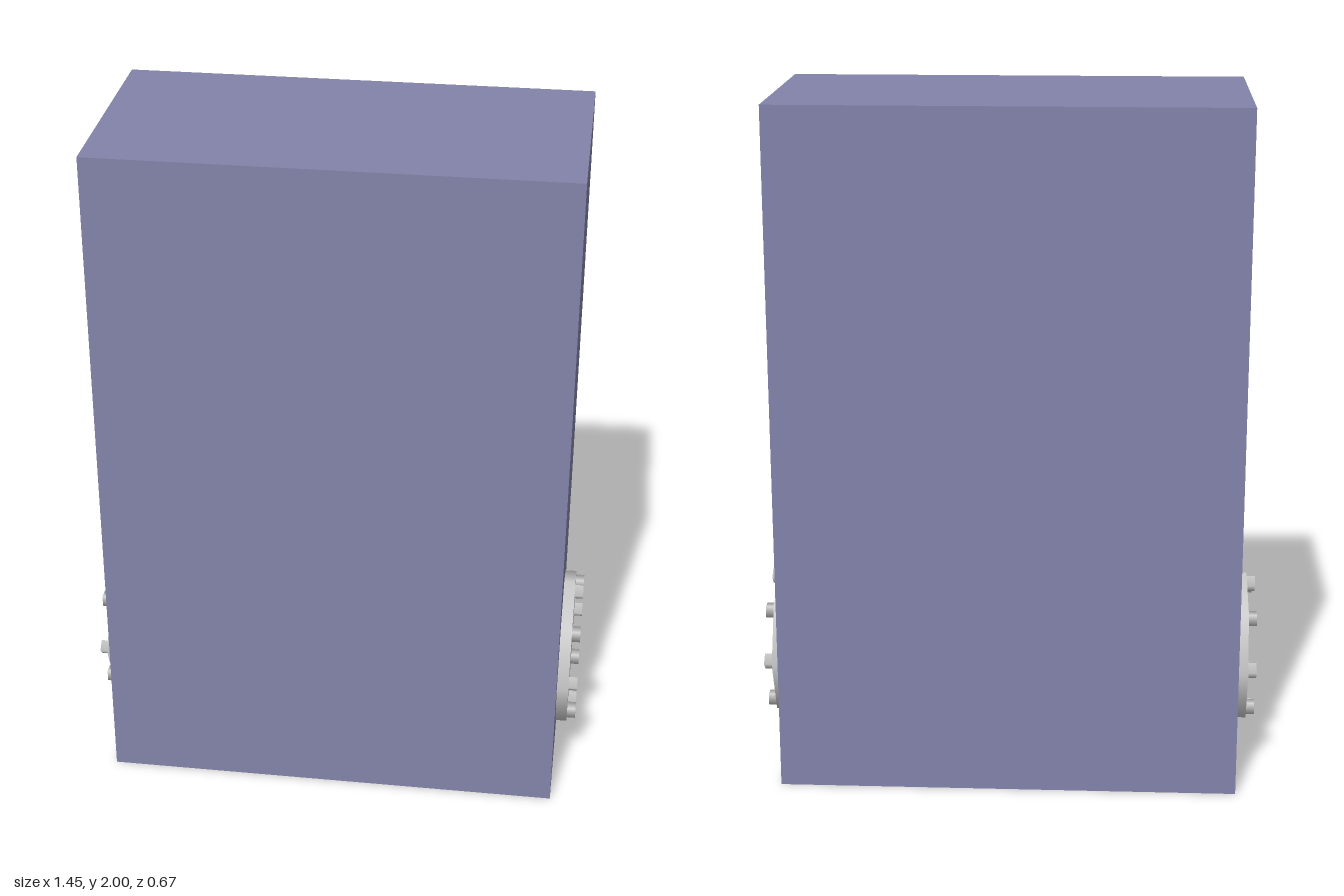
import * as THREE from 'three';

const W = 4 / 3, H = 2, D = 2 / 3;
const PORT_Y = 1 / 3, FLANGE_R = 0.233, FLANGE_T = 0.034, BOLT_RING = 0.198, BOLT_R = 0.024, BOLT_H = 0.025;

// Octagonal cover plate with a ring of square bolts, its axis along +y
function makePort(name, metal) {
  const port = new THREE.Group();
  port.name = name;

  const flange = new THREE.Mesh(new THREE.CylinderGeometry(FLANGE_R, FLANGE_R, FLANGE_T, 8), metal);
  flange.name = 'flange';
  flange.position.y = FLANGE_T / 2;
  port.add(flange);

  // Each bolt turns with its place on the ring, one corner facing outwards
  const boltGeometry = new THREE.CylinderGeometry(BOLT_R, BOLT_R, BOLT_H, 4);
  for (let i = 0; i < 8; i++) {
    const a = (i * Math.PI) / 4;
    const bolt = new THREE.Mesh(boltGeometry, metal);
    bolt.name = 'bolt';
    bolt.position.set(BOLT_RING * Math.sin(a), FLANGE_T + BOLT_H / 2, BOLT_RING * Math.cos(a));
    bolt.rotation.y = a;
    port.add(bolt);
  }
  return port;
}

export function createModel() {
  const model = new THREE.Group();
  model.name = 'tank';
  const paint = new THREE.MeshStandardMaterial({ color: 0x8383ab });
  const metal = new THREE.MeshStandardMaterial({ color: 0xcccccc });

  // Upright box tank
  const body = new THREE.Mesh(new THREE.BoxGeometry(W, H, D), paint);
  body.name = 'body';
  body.position.y = H / 2;
  model.add(body);

  // One port low on each side
  for (const side of [1, -1]) {
    const port = makePort(side > 0 ? 'leftPort' : 'rightPort', metal);
    port.position.set((side * W) / 2, PORT_Y, 0);
    port.rotation.z = (-side * Math.PI) / 2;
    model.add(port);
  }
  return model;
}
